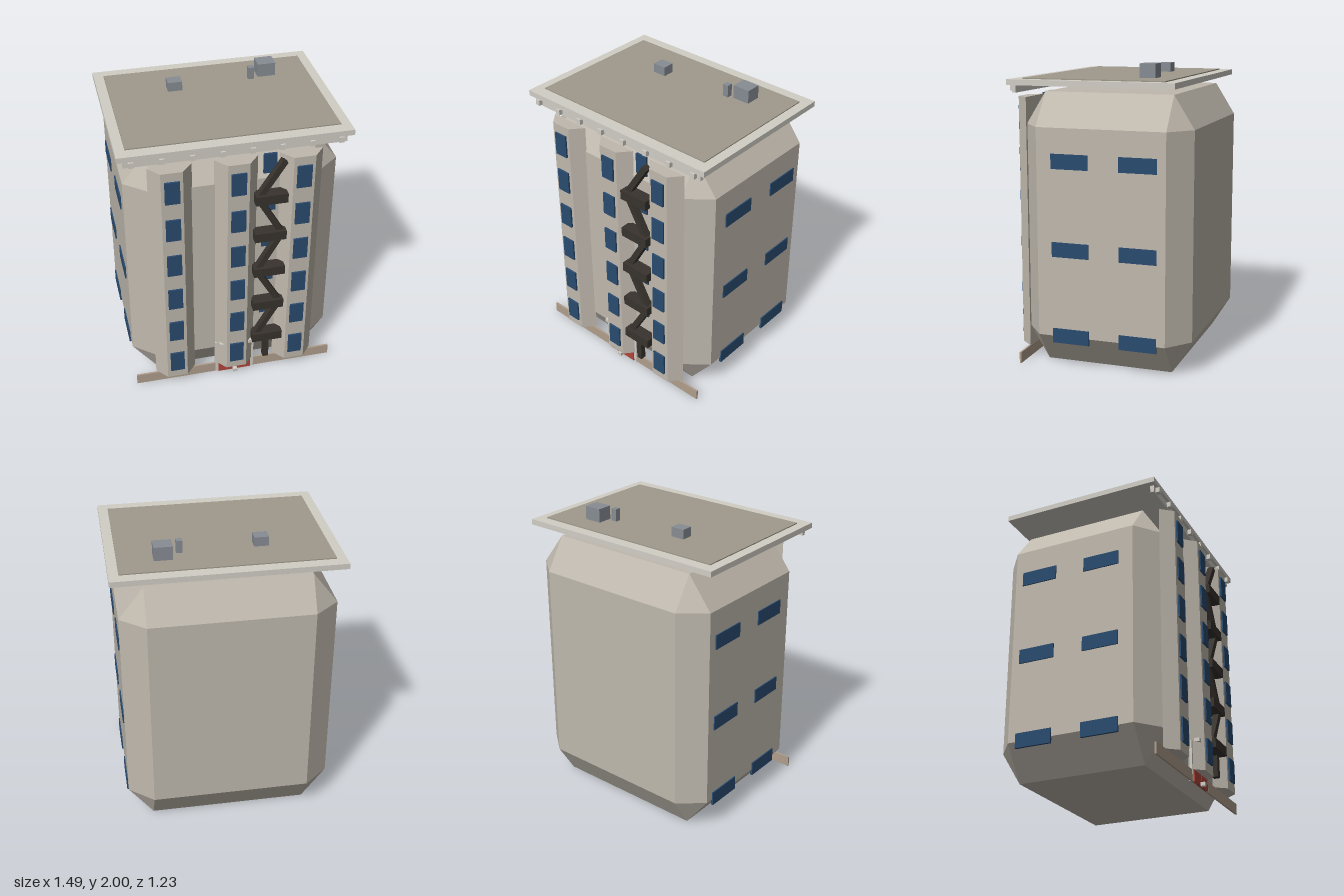
import * as THREE from 'three';
import { ConvexGeometry } from 'three/addons/geometries/ConvexGeometry.js';

const mat = (color) => new THREE.MeshStandardMaterial({ color });

export function createModel() {
  const model = new THREE.Group();
  const wall = mat(0xc0b9ae), glass = mat(0x2a4b70), iron = mat(0x38332e);
  const trim = mat(0xd2cec6), gravel = mat(0xa09a8c), stone = mat(0xb09e8c);
  const red = mat(0xb0453a), metal = mat(0x878d94);

  const add = (name, geometry, material) => {
    const mesh = new THREE.Mesh(geometry, material);
    mesh.name = name;
    model.add(mesh);
    return mesh;
  };
  // Box given by its extents along each axis
  const box = (name, material, x0, x1, y0, y1, z0, z1) => {
    const mesh = add(name, new THREE.BoxGeometry(x1 - x0, y1 - y0, z1 - z0), material);
    mesh.position.set((x0 + x1) / 2, (y0 + y1) / 2, (z0 + z1) / 2);
    return mesh;
  };

  // Main block: every edge chamfered, every corner cut to a triangle
  const points = [];
  for (const sx of [-1, 1]) for (const sy of [0, 1]) for (const sz of [0, 1]) {
    const zIn = sz ? 0.39 : -0.48, zOut = sz ? 0.525 : -0.615;
    const yIn = sy ? 1.6 : 0.22, yOut = sy ? 1.815 : 0;
    points.push(
      new THREE.Vector3(sx * 0.7, yIn, zIn),
      new THREE.Vector3(sx * 0.535, yOut, zIn),
      new THREE.Vector3(sx * 0.535, yIn, zOut));
  }
  add('mainBlock', new ConvexGeometry(points), wall);

  // Three bay columns with splayed sides, six windows each
  const plan = new THREE.Shape([[-0.14, -0.52], [-0.07, -0.603], [0.07, -0.603], [0.14, -0.52]]
    .map(([x, y]) => new THREE.Vector2(x, y)));
  for (const x of [-0.42, 0, 0.42]) {
    const geometry = new THREE.ExtrudeGeometry(plan, { depth: 1.695, bevelEnabled: false });
    geometry.rotateX(-Math.PI / 2);
    add('bayColumn', geometry, wall).position.set(x, 0.08, 0);
    for (let i = 0; i < 6; i++) {
      const y = 0.223 + i * 0.282;
      box('bayWindow', glass, x - 0.048, x + 0.048, y - 0.08, y + 0.08, 0.595, 0.615);
    }
  }

  // Wide windows on both sides
  for (const s of [-1, 1]) for (const y of [0.225, 0.807, 1.385]) {
    for (const z of [0.162, -0.297]) {
      box('sideWindow', glass, s * 0.7 - 0.008, s * 0.7 + 0.008, y - 0.049, y + 0.049, z - 0.126, z + 0.126);
    }
  }

  // Landing windows behind the fire escape
  for (let i = 0; i < 5; i++) {
    const y = 0.56 + i * 0.288;
    box('landingWindow', glass, 0.175, 0.26, y - 0.07, y + 0.07, 0.52, 0.535);
  }

  // Fire escape: landings joined by zigzag flights
  for (let i = 0; i < 5; i++) {
    const y = 0.327 + i * 0.29, s = i % 2 ? -1 : 1;
    box('landing', iron, 0.11, 0.32, y - 0.033, y + 0.033, 0.53, 0.615);
    const dx = 0.165 * s, dy = i === 4 ? 0.26 : 0.29;
    const flight = add('stairFlight', new THREE.BoxGeometry(0.04, Math.hypot(dx, dy), 0.045), iron);
    flight.position.set(0.215, y + dy / 2, 0.57);
    flight.rotation.z = -Math.atan2(dx, dy);
  }
  box('stairPost', iron, 0.195, 0.235, 0.12, 0.268, 0.55, 0.59);

  // Base wall and entrance
  box('baseWall', stone, -0.7, 0.7, 0, 0.075, 0.525, 0.538);
  box('portal', trim, -0.138, 0.138, 0, 0.27, 0.515, 0.54);
  for (const s of [-1, 1]) {
    box('entranceDoor', red, s * 0.059 - 0.056, s * 0.059 + 0.056, 0, 0.078, 0.53, 0.546);
  }
  box('doorstep', trim, -0.015, 0.015, 0, 0.025, 0.54, 0.575);
  box('canopy', trim, -0.115, 0.115, 0.265, 0.29, 0.52, 0.585);

  // Overhanging roof with front beam and brackets
  box('roofSlab', trim, -0.745, 0.745, 1.865, 1.902, -0.545, 0.567);
  box('roofSurface', gravel, -0.68, 0.68, 1.895, 1.909, -0.467, 0.485);
  box('corniceBeam', trim, -0.705, 0.705, 1.815, 1.866, 0.522, 0.548);
  for (let i = 0; i < 8; i++) {
    const x = -0.66 + i * 0.1886;
    box('corniceBracket', trim, x - 0.016, x + 0.016, 1.825, 1.862, 0.54, 0.575);
  }

  // Rooftop units
  box('ventUnit', metal, -0.295, -0.2, 1.9, 1.972, -0.235, -0.155);
  box('chimney', metal, 0.26, 0.3, 1.9, 1.992, -0.245, -0.205);
  box('liftHouse', metal, 0.33, 0.45, 1.9, 2.0, -0.33, -0.225);

  return model;
}
